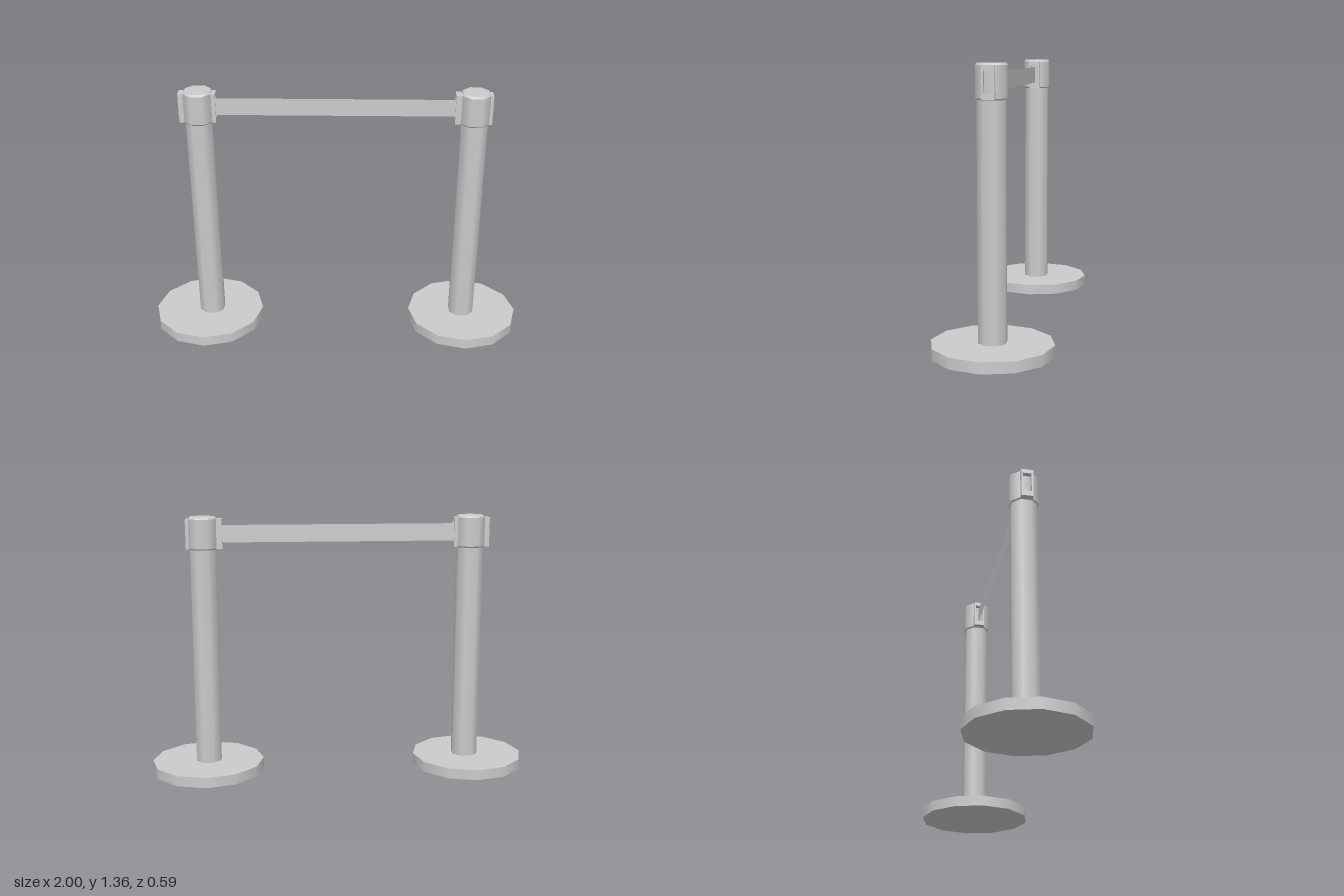
import * as THREE from 'three';
import { mergeGeometries } from 'three/addons/utils/BufferGeometryUtils.js';

const grey = new THREE.MeshStandardMaterial({ color: 0xcccccc });
const thin = new THREE.MeshStandardMaterial({ color: 0xcccccc, side: THREE.DoubleSide });

function part(name, geometry, material = grey) {
  const mesh = new THREE.Mesh(geometry, material);
  mesh.name = name;
  return mesh;
}

// Octagonal prism with flats towards x and z, sized by its flat-to-centre distance
function octagon(top, bottom, y0, y1, open = false) {
  const k = 1 / Math.cos(Math.PI / 8);
  const g = new THREE.CylinderGeometry(top * k, bottom * k, y1 - y0, 8, 1, open);
  return g.rotateY(Math.PI / 8).translate(0, (y0 + y1) / 2, 0);
}

// Raised rectangular frame whose outer face points to +x, with an open window
function frameGeometry() {
  const rect = (s, w, y0, y1) =>
    s.moveTo(-w, y0).lineTo(w, y0).lineTo(w, y1).lineTo(-w, y1).lineTo(-w, y0);
  const outline = rect(new THREE.Shape(), 0.03, 1.192, 1.344);
  outline.holes.push(rect(new THREE.Path(), 0.021, 1.219, 1.322));
  const g = new THREE.ExtrudeGeometry(outline, { depth: 0.043, bevelEnabled: false });
  return g.rotateY(Math.PI / 2).translate(0.05, 0, 0);
}

function createPost(name, baseX, poleX, frameX) {
  const post = new THREE.Group();
  post.name = name;

  const base = part('base', new THREE.CylinderGeometry(0.296, 0.296, 0.055, 12));
  base.position.set(baseX, 0.0275, 0);

  const pole = part('pole', octagon(0.065, 0.065, 0.05, 1.2));
  pole.position.x = poleX;

  // Head with a narrow chamfer at both ends
  const head = part('head', mergeGeometries([
    octagon(0.071, 0.064, 1.188, 1.196),
    octagon(0.071, 0.071, 1.196, 1.345, true),
    octagon(0.064, 0.071, 1.345, 1.355),
  ]));
  head.position.x = poleX;
  post.add(base, pole, head);

  // Belt slots on both sides of the head
  for (const turn of [0, Math.PI]) {
    const frame = part('slotFrame', frameGeometry());
    frame.position.x = frameX;
    frame.rotation.y = turn;
    post.add(frame);
  }
  return post;
}

export function createModel() {
  const model = new THREE.Group();
  model.name = 'beltBarrier';
  model.add(createPost('rightPost', -0.704, -0.69, -0.693));
  model.add(createPost('leftPost', 0.704, 0.7, 0.693));

  // Flat belt stretched between the two heads
  const belt = part('belt', new THREE.PlaneGeometry(1.25, 0.09), thin);
  belt.position.y = 1.267;
  model.add(belt);
  return model;
}
